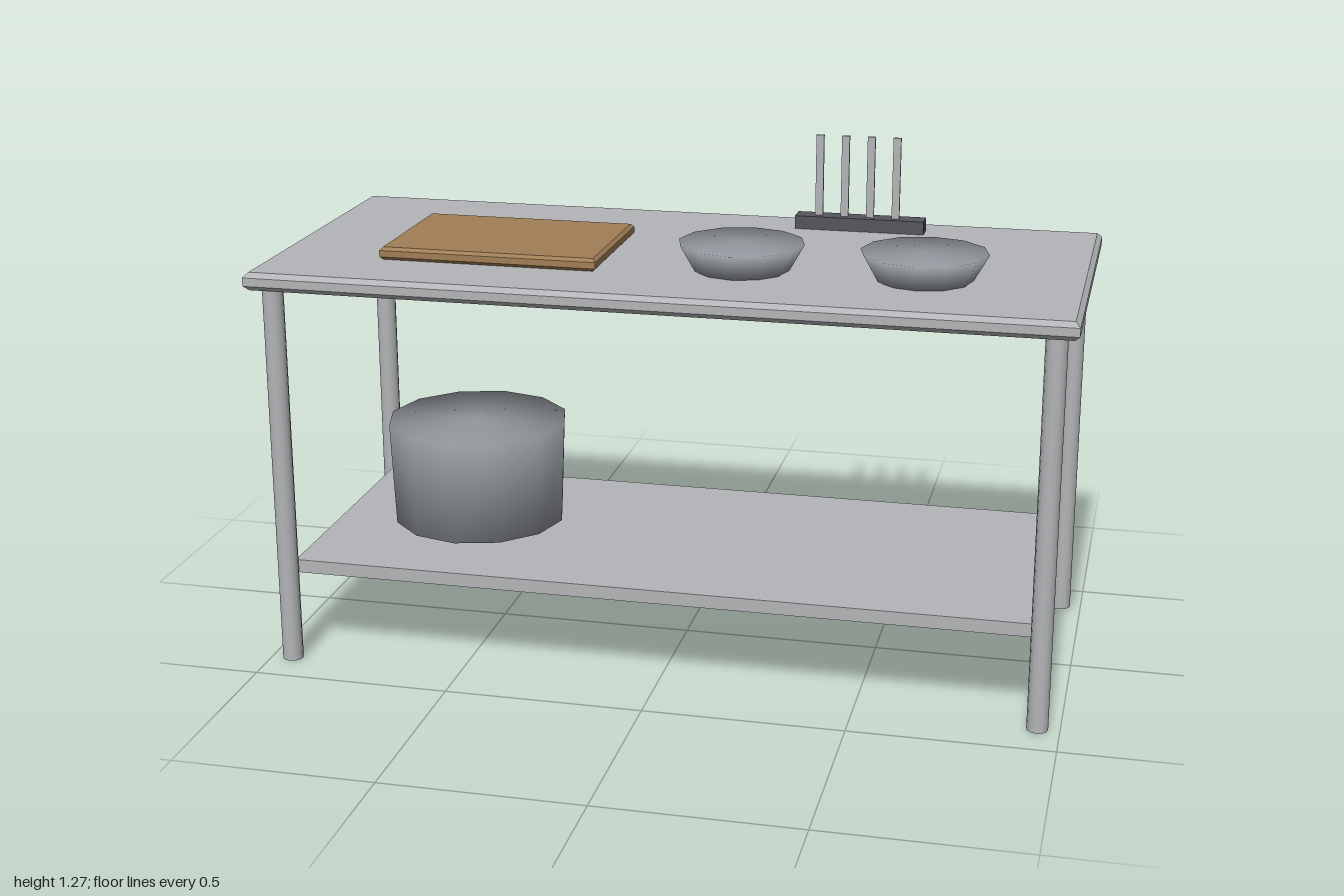
import * as THREE from 'three';
import { mergeVertices } from 'three/addons/utils/BufferGeometryUtils.js';

const makeMat = (name, color) => {
  const m = new THREE.MeshStandardMaterial({ color });
  m.name = name;
  return m;
};

// Slab with chamfered edges, standing on y = 0
function chamferedSlab(w, h, d, b) {
  const x = w / 2 - b, z = d / 2 - b;
  const shape = new THREE.Shape([
    new THREE.Vector2(-x, -z), new THREE.Vector2(x, -z),
    new THREE.Vector2(x, z), new THREE.Vector2(-x, z),
  ]);
  const g = new THREE.ExtrudeGeometry(shape, {
    depth: h - 2 * b, bevelEnabled: true, bevelSize: b, bevelThickness: b, bevelSegments: 1,
  });
  return g.rotateX(-Math.PI / 2).translate(0, b, 0);
}

// Solid tapered vessel whose shading runs smoothly over the rims
function vessel(rTop, rBottom, h) {
  let g = new THREE.CylinderGeometry(rTop, rBottom, h, 12);
  g.deleteAttribute('uv');
  g.deleteAttribute('normal');
  g = mergeVertices(g, 1e-4);
  g.computeVertexNormals();
  return g.translate(0, h / 2, 0);
}

export function createModel() {
  const steel = makeMat('brushed steel', 0xb4b5b8);
  const potMetal = makeMat('grey metal', 0x92969c);
  const wood = makeMat('board wood', 0xa17f55);
  const dark = makeMat('dark rack', 0x55565e);

  const model = new THREE.Group();
  model.name = 'prepTable';
  const add = (name, geometry, material, x, y, z) => {
    const mesh = new THREE.Mesh(geometry, material);
    mesh.name = name;
    mesh.position.set(x, y, z);
    model.add(mesh);
  };

  // Table: top, lower shelf and four round legs
  const topY = 1.025;
  add('tableTop', chamferedSlab(2, 0.045, 0.885, 0.012), steel, 0, 0.98, 0);
  add('lowerShelf', new THREE.BoxGeometry(1.86, 0.034, 0.75), steel, 0, 0.247, 0);
  const leg = new THREE.CylinderGeometry(0.026, 0.026, 0.98, 12);
  for (const sx of [-1, 1]) for (const sz of [-1, 1]) {
    add((sz > 0 ? 'front' : 'back') + (sx > 0 ? 'Left' : 'Right') + 'Leg',
      leg, steel, sx * 0.946, 0.49, sz * 0.388);
  }

  // Cutting board
  add('cuttingBoard', chamferedSlab(0.55, 0.032, 0.387, 0.008), wood, -0.446, topY, 0.053);

  // Two bowls on the top and a pot on the shelf
  const bowl = vessel(0.155, 0.118, 0.066);
  add('rightBowl', bowl, potMetal, 0.165, topY, 0.13);
  add('leftBowl', bowl, potMetal, 0.61, topY, 0.13);
  add('pot', vessel(0.234, 0.223, 0.268), potMetal, -0.56, 0.282, 0);

  // Rack with four upright blades
  add('rackBase', new THREE.BoxGeometry(0.335, 0.034, 0.054), dark, 0.385, topY + 0.017, -0.336);
  const blade = new THREE.BoxGeometry(0.02, 0.22, 0.008);
  for (let i = 0; i < 4; i++) {
    add('blade' + (i + 1), blade, steel, 0.277 + i * 0.0665, 1.16, -0.333);
  }
  return model;
}
